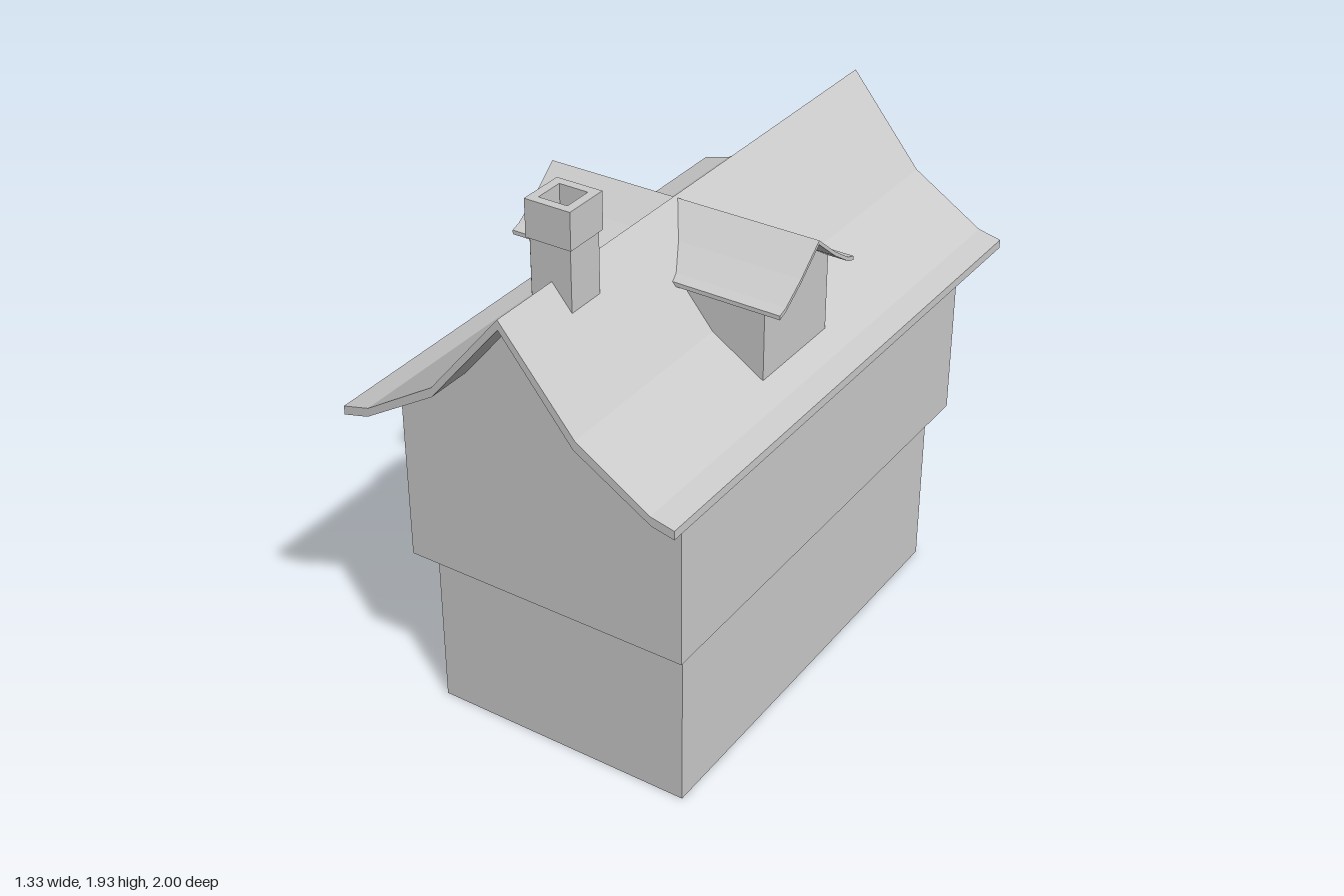
import * as THREE from 'three';

const RIDGE_X = 0.08; // ridge line of the main roof
const material = new THREE.MeshStandardMaterial({ color: 0xcccccc, flatShading: true, side: THREE.DoubleSide });

function add(parent, name, geometry, x = 0, y = 0, z = 0) {
  const mesh = new THREE.Mesh(geometry, material);
  mesh.name = name;
  mesh.position.set(x, y, z);
  parent.add(mesh);
  return mesh;
}

const shapeOf = points => new THREE.Shape(points.map(p => new THREE.Vector2(p[0], p[1])));
const extrude = (shape, depth) => new THREE.ExtrudeGeometry(shape, { depth, bevelEnabled: false });

// Box given by its limits on each axis
function addBox(parent, name, [x0, x1], [y0, y1], [z0, z1]) {
  return add(parent, name, new THREE.BoxGeometry(x1 - x0, y1 - y0, z1 - z0),
    (x0 + x1) / 2, (y0 + y1) / 2, (z0 + z1) / 2);
}

// Open shell through rectangular sections [y, x0, x1, half depth]
function rectangularShell(sections) {
  const positions = [], index = [];
  for (const [y, x0, x1, d] of sections) positions.push(x0, y, d, x1, y, d, x1, y, -d, x0, y, -d);
  for (let s = 0; s < sections.length - 1; s++) {
    for (let i = 0; i < 4; i++) {
      const a = s * 4 + i, b = s * 4 + (i + 1) % 4;
      index.push(a, b, b + 4, a, b + 4, a + 4);
    }
  }
  const geometry = new THREE.BufferGeometry();
  geometry.setAttribute('position', new THREE.Float32BufferAttribute(positions, 3));
  geometry.setIndex(index);
  const flat = geometry.toNonIndexed();
  flat.computeVertexNormals();
  return flat;
}

// Extrude a (z, y) profile outwards along x, with its inner end cut along the main roof slope
function dormerPart(points, depth) {
  const geometry = extrude(shapeOf(points), depth);
  const p = geometry.attributes.position;
  for (let i = 0; i < p.count; i++) {
    if (p.getZ(i) > 0.01) continue;
    if (p.getY(i) < 1.3) {
      p.setY(i, 1.37);
      p.setZ(i, 0.245);
    } else {
      p.setZ(i, Math.max(0, (1.68 - p.getY(i)) * 0.82));
    }
  }
  geometry.rotateY(Math.PI / 2);
  geometry.computeVertexNormals();
  return geometry;
}

function createDormer(name, wallDepth, roofDepth) {
  const dormer = new THREE.Group();
  dormer.name = name;
  const half = [[0.1, 1.597], [0.183, 1.541], [0.216, 1.53]];
  const top = [...half.map(([z, y]) => [-z, y]).reverse(), [0, 1.68], ...half];
  const under = top.map(([z, y]) => [z, y - 0.014]).reverse();
  add(dormer, 'dormerRoof', dormerPart([...top, ...under], roofDepth));
  add(dormer, 'dormerWalls', dormerPart([
    [-0.184, 1.27], [0.184, 1.27], [0.184, 1.53], [0.1, 1.585], [0, 1.668], [-0.1, 1.585], [-0.184, 1.53],
  ], wallDepth));
  dormer.position.set(RIDGE_X, 0, 0.108);
  return dormer;
}

export function createModel() {
  const house = new THREE.Group();
  house.name = 'house';

  // Hollow walls: narrow ground floor, flared jetty, wider upper floor
  add(house, 'walls', rectangularShell([
    [0, -0.383, 0.54, 0.773],
    [0.555, -0.383, 0.54, 0.773],
    [0.6, -0.424, 0.583, 0.845],
    [1.195, -0.424, 0.583, 0.845],
  ]));

  // Main roof, a thin slab bent twice on each side
  const roofTop = [[-0.515, 1.2], [-0.42, 1.225], [-0.172, 1.382], [RIDGE_X, 1.688],
    [0.332, 1.382], [0.58, 1.225], [0.66, 1.207]];
  const roofUnder = [[-0.515, 1.17], [-0.424, 1.194], [-0.172, 1.35], [RIDGE_X, 1.655],
    [0.325, 1.35], [0.583, 1.194], [0.66, 1.177]];
  add(house, 'roof', extrude(shapeOf([...roofTop, ...[...roofUnder].reverse()]), 2), 0, 0, -1);

  // Gables fill the wall ends up to the roof
  for (const side of [1, -1]) {
    const gable = add(house, side > 0 ? 'frontGable' : 'backGable',
      new THREE.ShapeGeometry(shapeOf(roofUnder.slice(1, -1))), 0, 0, side * 0.845);
    if (side < 0) {
      gable.rotation.y = Math.PI;
      gable.position.x = 0.159;
    }
  }

  // Dormers on both slopes
  house.add(createDormer('leftDormer', 0.43, 0.5));
  const rightDormer = createDormer('rightDormer', 0.42, 0.46);
  rightDormer.scale.x = -1;
  house.add(rightDormer);

  // Chimney with a hollow cap
  const chimney = new THREE.Group();
  chimney.name = 'chimney';
  addBox(chimney, 'chimneyShaft', [0.008, 0.148], [1.56, 1.815], [0.607, 0.745]);
  const square = s => [[-s, -s], [s, -s], [s, s], [-s, s]];
  const capShape = shapeOf(square(0.078));
  capShape.holes.push(new THREE.Path(square(0.049).reverse().map(p => new THREE.Vector2(...p))));
  const cap = extrude(capShape, 0.122);
  cap.rotateX(-Math.PI / 2);
  add(chimney, 'chimneyCap', cap, 0.078, 1.81, 0.676);
  house.add(chimney);

  // Hanging sign on the right wall
  const sign = new THREE.Group();
  sign.name = 'hangingSign';
  addBox(sign, 'signBeam', [-0.665, -0.42], [0.695, 0.71], [-0.207, -0.195]);
  addBox(sign, 'signBoard', [-0.64, -0.47], [0.465, 0.686], [-0.206, -0.196]);
  for (const x of [-0.59, -0.52]) addBox(sign, 'signHanger', [x - 0.025, x + 0.025], [0.684, 0.697], [-0.204, -0.198]);
  house.add(sign);

  return house;
}
